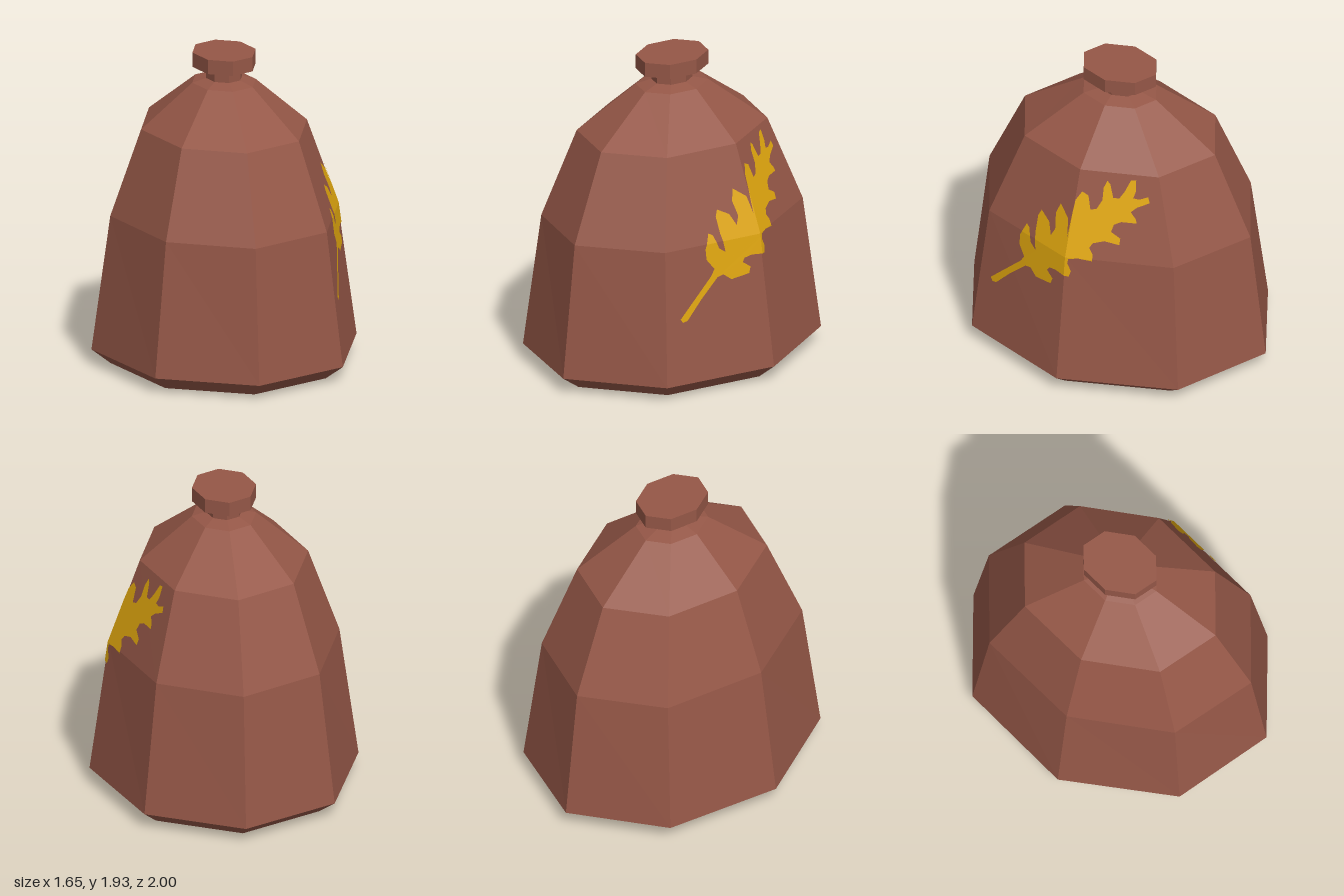
import * as THREE from 'three';

// Rings of the eight-sided jar: [half width x, half depth z, height y]
const foot = [[0, 0, 0], [0.705, 0.86, 0], [0.823, 1, 0.093]];
const wall = [[0.823, 1, 0.093], [0.706, 0.895, 0.928], [0.515, 0.652, 1.462]];
const shoulder = [[0.515, 0.652, 1.462], [0.197, 0.248, 1.737], [0.112, 0.14, 1.762]];
const neck = [[0.112, 0.14, 1.762], [0.112, 0.14, 1.81]];
const rim = [[0.112, 0.14, 1.81], [0.196, 0.248, 1.837], [0.196, 0.248, 1.927], [0, 0, 1.927]];

const SIDES = 8;
const C = Math.SQRT1_2;

// Leaf outline as [z, y] pairs, starting at the stem tip
const leafOutline = [
  // stem and lower lobes
  [0.58, 0.5], [0.565, 0.478], [0.535, 0.485], [0.43, 0.6], [0.31, 0.715], [0.27, 0.725],
  [0.22, 0.685], [0.1, 0.7], [0.087, 0.74], [0.135, 0.775], [0.12, 0.8], [0.07, 0.81],
  [-0.03, 0.8], [-0.04, 0.84], [-0.015, 0.89], [-0.02, 0.92], [-0.075, 0.93],
  [-0.16, 0.92], [-0.155, 0.965], [-0.13, 1], [-0.145, 1.03], [-0.21, 1.05],
  [-0.3, 1.035], [-0.3, 1.075], [-0.24, 1.11], [-0.25, 1.155], [-0.29, 1.175],
  [-0.38, 1.175], [-0.37, 1.2], [-0.335, 1.24], [-0.365, 1.27],
  // tip and upper lobes
  [-0.435, 1.305], [-0.42, 1.34], [-0.37, 1.32], [-0.335, 1.325], [-0.345, 1.37],
  [-0.335, 1.435], [-0.305, 1.43], [-0.28, 1.36], [-0.255, 1.315], [-0.22, 1.315],
  [-0.19, 1.395], [-0.17, 1.415], [-0.155, 1.37], [-0.16, 1.295], [-0.135, 1.24],
  [-0.1, 1.23], [-0.075, 1.315], [-0.035, 1.335], [-0.005, 1.28], [0.01, 1.05],
  [0.025, 1.155], [0.1, 1.215], [0.125, 1.145], [0.11, 1.055], [0.135, 1.005],
  [0.165, 1.075], [0.235, 1.115], [0.255, 1.075], [0.255, 0.975], [0.24, 0.86],
  [0.28, 0.89], [0.305, 0.975], [0.33, 0.99], [0.37, 0.9], [0.37, 0.835],
  [0.325, 0.77], [0.35, 0.73], [0.46, 0.62],
];

function toGeometry(positions) {
  const geometry = new THREE.BufferGeometry();
  geometry.setAttribute('position', new THREE.Float32BufferAttribute(positions, 3));
  geometry.computeVertexNormals();
  return geometry;
}

// Skin a stack of rings with flat facets; a zero-size ring closes the end
function facetedShell(rings) {
  const positions = [];
  const point = ([rx, rz, y], j) => {
    const a = (j % SIDES) / SIDES * Math.PI * 2;
    return [rx * Math.sin(a), y, rz * Math.cos(a)];
  };
  for (let i = 0; i < rings.length - 1; i++) {
    const [low, high] = [rings[i], rings[i + 1]];
    for (let j = 0; j < SIDES; j++) {
      const a = point(low, j), b = point(low, j + 1);
      const c = point(high, j + 1), d = point(high, j);
      if (low[0] > 0) positions.push(...a, ...b, ...(high[0] > 0 ? d : c));
      if (high[0] > 0) positions.push(...(low[0] > 0 ? b : a), ...c, ...d);
    }
  }
  return toGeometry(positions);
}

// x of the jar wall on the left side at a given depth and height
function wallX(z, y) {
  const i = y < wall[1][2] ? 0 : 1;
  const t = (y - wall[i][2]) / (wall[i + 1][2] - wall[i][2]);
  const rx = THREE.MathUtils.lerp(wall[i][0], wall[i + 1][0], t);
  const rz = THREE.MathUtils.lerp(wall[i][1], wall[i + 1][1], t);
  return rx * (1 - (1 - C) * Math.abs(z) / (C * rz));
}

// Keep the part of a convex polygon where sign * (p[axis] - value) >= 0
function clip(polygon, axis, value, sign) {
  const out = [];
  polygon.forEach((p, i) => {
    const q = polygon[(i + 1) % polygon.length];
    const dp = sign * (p[axis] - value), dq = sign * (q[axis] - value);
    if (dp >= 0) out.push(p);
    if (dp * dq < 0) {
      const t = dp / (dp - dq);
      out.push([p[0] + (q[0] - p[0]) * t, p[1] + (q[1] - p[1]) * t]);
    }
  });
  return out;
}

// Leaf cut along the wall creases and laid just above the facets
function leafGeometry() {
  const shape = new THREE.Shape(leafOutline.map(([z, y]) => new THREE.Vector2(-z, y)));
  const flat = new THREE.ShapeGeometry(shape).toNonIndexed().attributes.position;
  const positions = [];
  for (let i = 0; i < flat.count; i += 3) {
    const triangle = [0, 1, 2].map((k) => [flat.getX(i + k), flat.getY(i + k)]);
    for (const su of [-1, 1]) {
      for (const sy of [-1, 1]) {
        const piece = clip(clip(triangle, 0, 0, su), 1, wall[1][2], sy);
        for (let k = 1; k + 1 < piece.length; k++) {
          for (const [u, y] of [piece[0], piece[k], piece[k + 1]]) {
            positions.push(wallX(-u, y) + 0.006, y, -u);
          }
        }
      }
    }
  }
  return toGeometry(positions);
}

export function createModel() {
  const clay = new THREE.MeshStandardMaterial({ color: 0x955747, flatShading: true });
  clay.name = 'reddish brown clay';
  const gold = new THREE.MeshStandardMaterial({ color: 0xdea50e, flatShading: true });
  gold.name = 'golden yellow';

  const model = new THREE.Group();
  model.name = 'facetedJar';
  const add = (name, geometry, material) => {
    const mesh = new THREE.Mesh(geometry, material);
    mesh.name = name;
    model.add(mesh);
  };

  // Jar, from the ground up
  const parts = { foot, wall, shoulder, neck, rim };
  for (const [name, rings] of Object.entries(parts)) add(name, facetedShell(rings), clay);

  // Painted leaf on the left side
  add('leaf', leafGeometry(), gold);
  return model;
}
